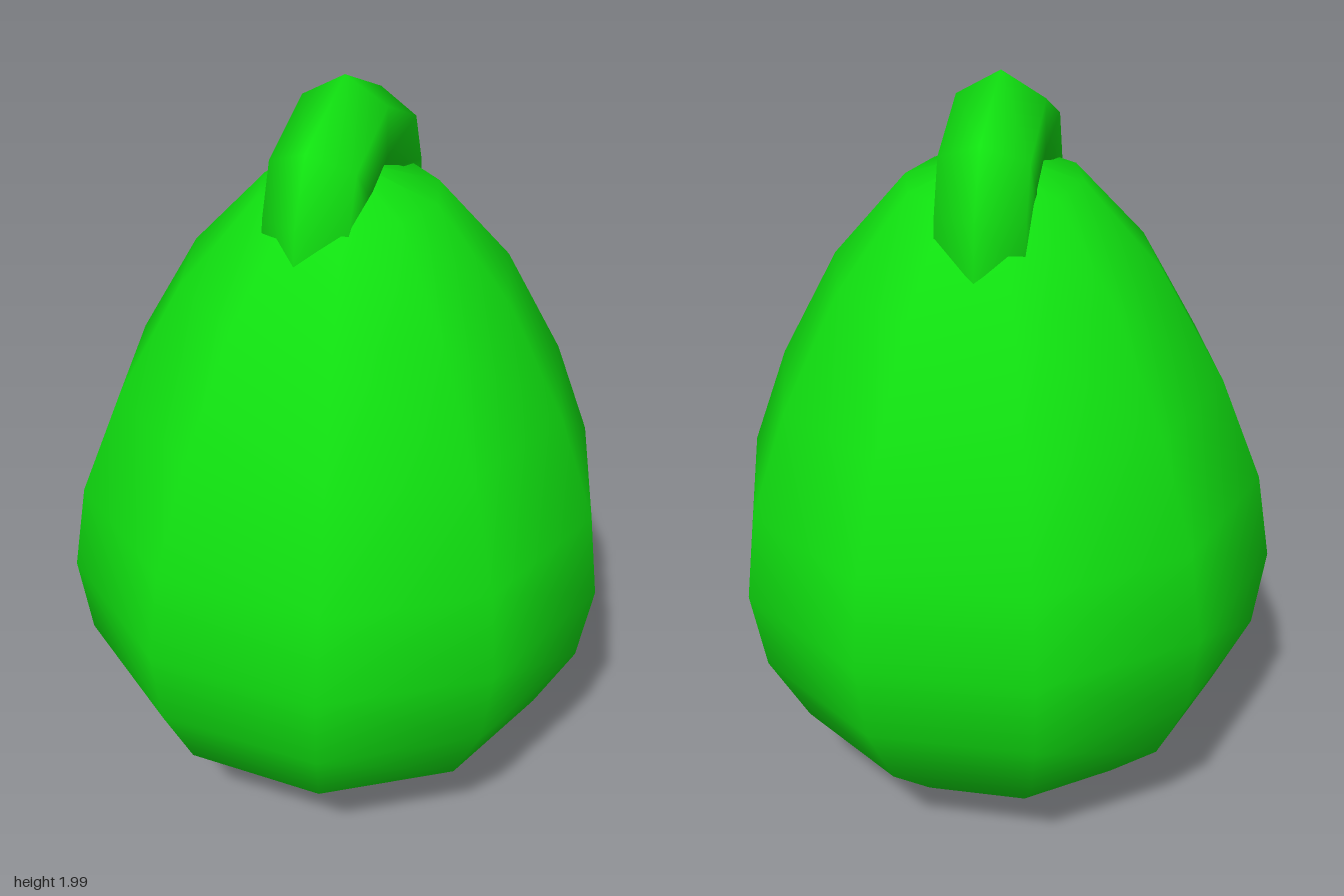
import * as THREE from 'three';

const green = new THREE.MeshStandardMaterial({ color: 0x10e010 });

// Ten-sided egg, slightly deeper than wide and leaning a touch to one side
function createBody() {
  const profile = [
    [0, 0.005], [0.22, 0.04], [0.42, 0.14], [0.583, 0.298], [0.683, 0.498], [0.716, 0.715],
    [0.683, 0.945], [0.58, 1.215], [0.42, 1.505], [0.225, 1.725], [0, 1.797],
  ];
  const pivot = 0.715;
  const geometry = new THREE.LatheGeometry(
    profile.map(([r, y]) => new THREE.Vector2(r, y - pivot)), 10, Math.PI / 2);
  geometry.scale(1, 1, 1.027);
  geometry.rotateZ(-0.022);
  geometry.translate(0, pivot, 0);
  const body = new THREE.Mesh(geometry, green);
  body.name = 'body';
  return body;
}

// Six-sided tube arching front to back; both ends are sunk into the body
function createHandle() {
  const sides = 6, radius = 0.127;
  // Half arch from crown to foot: outer ridge z, y and centre line z, y
  const half = [
    [0, 2.0, 0, 1.873], [0.24, 1.89, 0.155, 1.796], [0.305, 1.73, 0.185, 1.69],
    [0.32, 1.6, 0.193, 1.59], [0.32, 1.45, 0.193, 1.45],
  ];
  const arch = [
    ...half.slice(1).reverse(),
    ...half.map(([oz, oy, cz, cy]) => [-oz, oy, -cz, cy]),
  ];
  const positions = [], index = [];
  arch.forEach(([oz, oy, cz, cy], i) => {
    for (let j = 0; j < sides; j++) {
      const angle = (j / sides) * Math.PI * 2, c = Math.cos(angle);
      positions.push(radius * Math.sin(angle), cy + (oy - cy) * c, cz + (oz - cz) * c);
      if (i === arch.length - 1) continue;
      const a = i * sides + j, b = i * sides + (j + 1) % sides;
      index.push(a, b, a + sides, b, b + sides, a + sides);
    }
  });
  const geometry = new THREE.BufferGeometry();
  geometry.setAttribute('position', new THREE.Float32BufferAttribute(positions, 3));
  geometry.setIndex(index);
  geometry.computeVertexNormals();
  const handle = new THREE.Mesh(geometry, green);
  handle.name = 'handle';
  handle.position.z = -0.022;
  return handle;
}

export function createModel() {
  const group = new THREE.Group();
  group.name = 'eggOrnament';
  group.add(createBody(), createHandle());
  return group;
}
